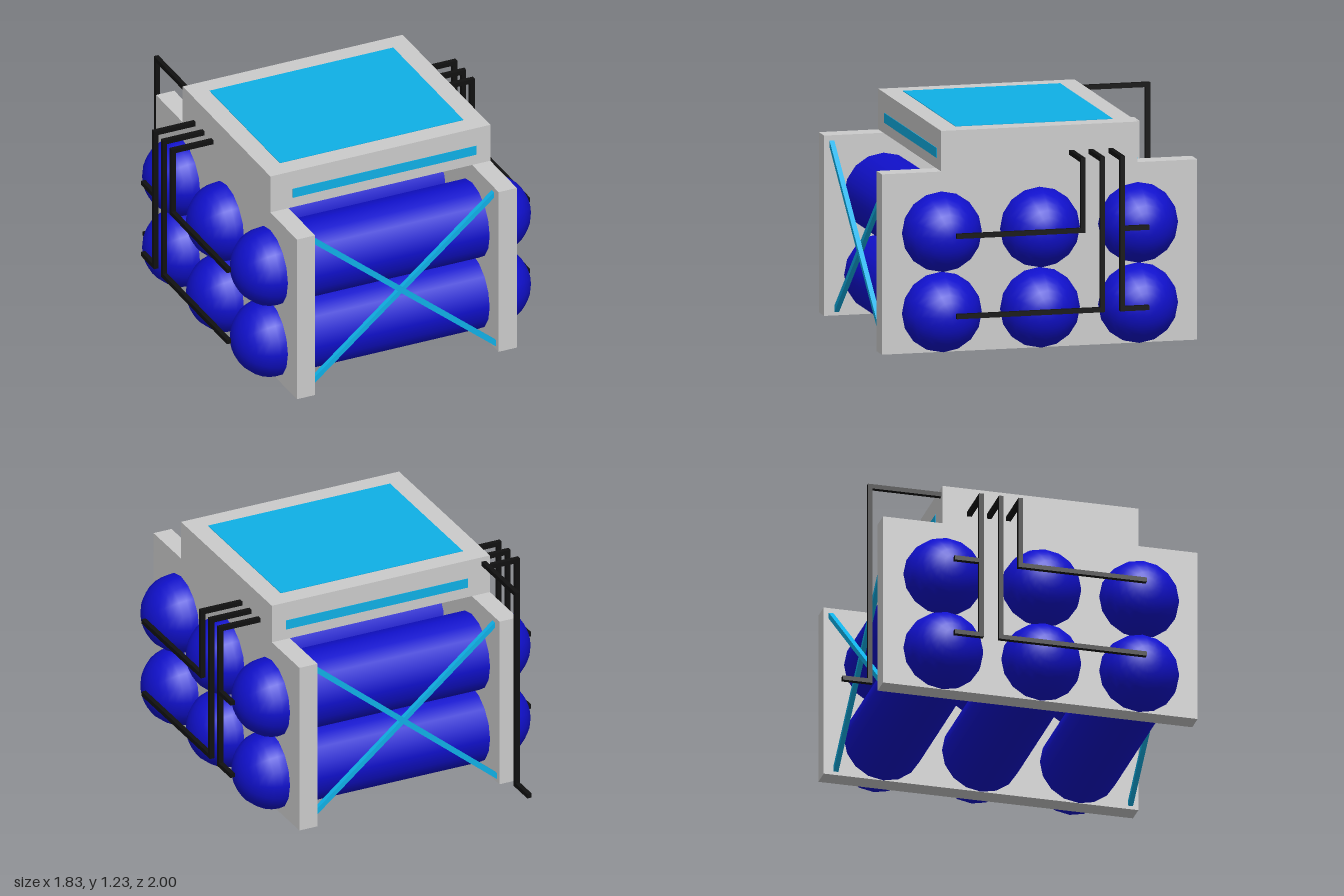
import * as THREE from 'three';

const frameMat = new THREE.MeshStandardMaterial({ color: 0xcccccc });
const tankMat = new THREE.MeshStandardMaterial({ color: 0x1010cc });
const cyanMat = new THREE.MeshStandardMaterial({ color: 0x0fb0e6 });
const pipeMat = new THREE.MeshStandardMaterial({ color: 0x111111 });

const PIPE = 0.026;

// Box given by its min and max corners
function box(name, mat, [x0, y0, z0], [x1, y1, z1]) {
  const mesh = new THREE.Mesh(new THREE.BoxGeometry(x1 - x0, y1 - y0, z1 - z0), mat);
  mesh.position.set((x0 + x1) / 2, (y0 + y1) / 2, (z0 + z1) / 2);
  mesh.name = name;
  return mesh;
}

// Square pipe through axis-aligned points, with square corners
function pipe(name, points) {
  const group = new THREE.Group();
  group.name = name;
  const h = PIPE / 2;
  for (let i = 1; i < points.length; i++) {
    const a = points[i - 1], b = points[i];
    group.add(box('pipeSegment', pipeMat,
      a.map((v, k) => Math.min(v, b[k]) - h),
      a.map((v, k) => Math.max(v, b[k]) + h)));
  }
  return group;
}

export function createModel() {
  const model = new THREE.Group();
  model.name = 'tankRack';

  // Side plates
  model.add(box('leftPlate', frameMat, [0.555, 0, -0.78], [0.665, 1, 1]));
  model.add(box('rightPlate', frameMat, [-0.665, 0, -0.78], [-0.555, 1, 1]));

  // Control box with coloured lid panel and end stripes
  model.add(box('controlBox', frameMat, [-0.665, 1, -0.443], [0.665, 1.225, 0.665]));
  model.add(box('lidPanel', cyanMat, [-0.555, 1.2, -0.333], [0.555, 1.228, 0.555]));
  model.add(box('frontStripe', cyanMat, [-0.53, 1.06, 0.64], [0.58, 1.115, 0.668]));
  model.add(box('backStripe', cyanMat, [-0.53, 1.06, -0.446], [0.58, 1.115, -0.42]));

  // Six round-ended tanks
  const tankGeo = new THREE.CapsuleGeometry(0.222, 1.33, 8, 16).rotateZ(Math.PI / 2);
  for (const y of [0.223, 0.668]) {
    for (const z of [0.665, 0.111, -0.443]) {
      const tank = new THREE.Mesh(tankGeo, tankMat);
      tank.name = 'tank';
      tank.position.set(0, y, z);
      model.add(tank);
    }
  }

  // Crossed braces at both ends, one bar in front of the other
  const dx = 1.125, dy = 0.93;
  const barGeo = new THREE.BoxGeometry(Math.hypot(dx, dy), 0.028, 0.027);
  for (const [z, tilt] of [[0.956, -1], [0.929, 1], [-0.711, -1], [-0.738, 1]]) {
    const bar = new THREE.Mesh(barGeo, cyanMat);
    bar.name = 'crossBrace';
    bar.position.set(0, 0.495, z);
    bar.rotation.z = tilt * Math.atan2(dy, dx);
    model.add(bar);
  }

  // Feed pipes on each side, from the tank ends up into the control box
  const top = 1.072, lo = 0.237, hi = 0.682;
  for (const s of [1, -1]) {
    const x = s * 0.904, inX = s * 0.65;
    const side = s > 0 ? 'left' : 'right';
    model.add(pipe(side + 'UpperFeed', [[x, hi, 0.63], [x, hi, -0.07], [x, top, -0.07], [inX, top, -0.07]]));
    model.add(pipe(side + 'LowerFeed', [[x, lo, 0.63], [x, lo, -0.18], [x, top, -0.18], [inX, top, -0.18]]));
    model.add(pipe(side + 'RearFeed', [[x, lo, -0.43], [x, lo, -0.292], [x, top, -0.292], [inX, top, -0.292]]));
    model.add(pipe(side + 'RearBranch', [[x, hi, -0.43], [x, hi, -0.292]]));
  }

  // Drain pipe behind the control box
  model.add(pipe('drainPipe', [
    [-0.628, 1.185, -0.43], [-0.628, 1.185, -0.845],
    [-0.628, 0.014, -0.845], [-0.628, 0.014, -0.987],
  ]));

  return model;
}
